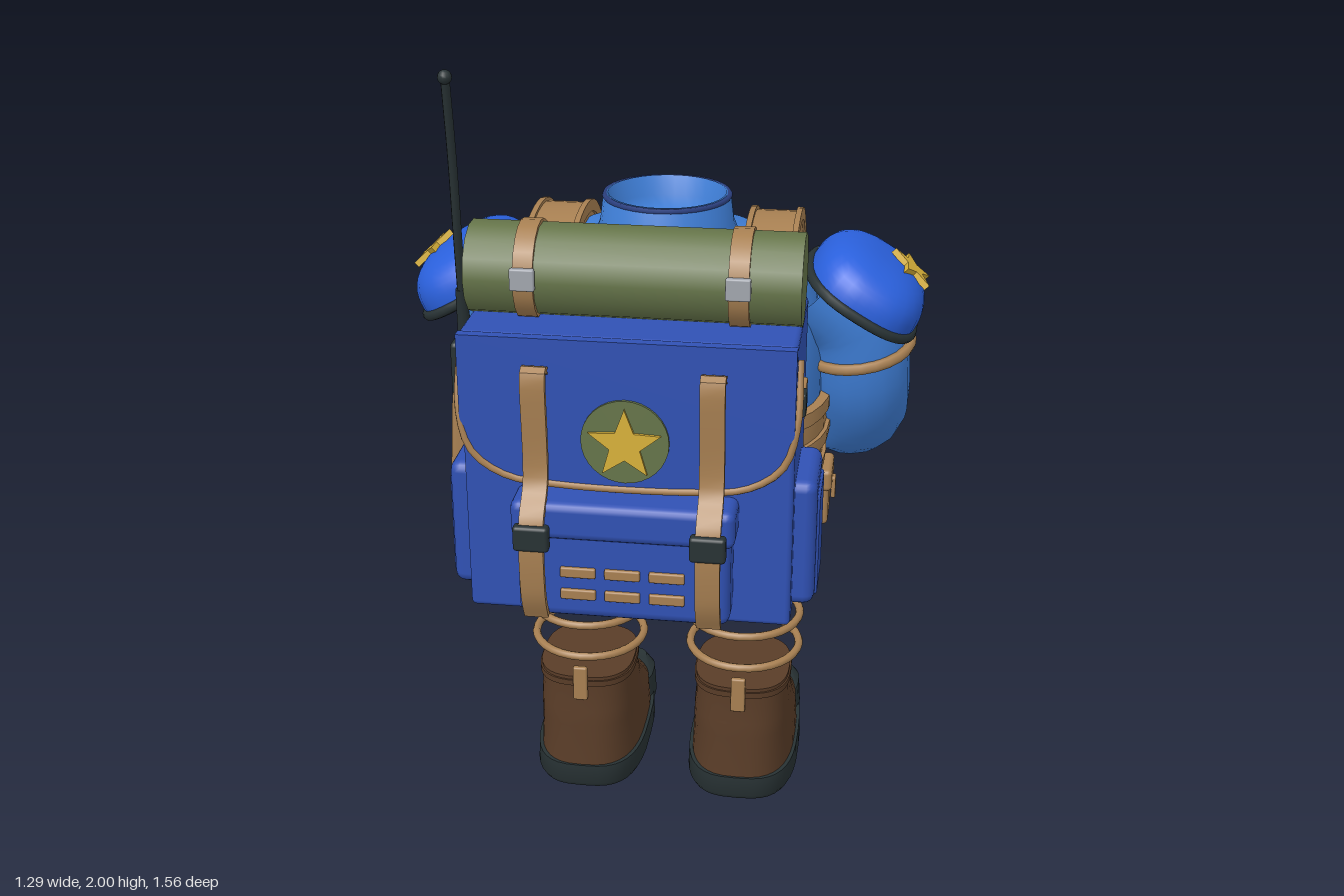
import * as THREE from 'three';
import { toCreasedNormals } from 'three/addons/utils/BufferGeometryUtils.js';
import { RoundedBoxGeometry } from 'three/addons/geometries/RoundedBoxGeometry.js';

const paint = (name, color) => Object.assign(new THREE.MeshStandardMaterial({ color }), { name });
const V = (x, y, z) => new THREE.Vector3(x, y, z);

export function createModel() {
  const shirt = paint('shirt blue', 0x3f7fd8), packBlue = paint('pack blue', 0x3051b4), armor = paint('armor blue', 0x2a60dc);
  const tan = paint('tan webbing', 0xa88052), olive = paint('olive canvas', 0x66754a), leather = paint('boot brown', 0x5a3d28);
  const black = paint('rubber black', 0x283234), gold = paint('star gold', 0xd9b13a), steel = paint('buckle grey', 0xa2a6ae), navy = paint('holster navy', 0x2b3f7e);
  shirt.side = THREE.DoubleSide;
  armor.side = THREE.DoubleSide;
  const model = new THREE.Group();
  model.name = 'paddedSoldierOutfit';
  model.position.x = -0.008;

  const add = (name, geo, mat, x = 0, y = 0, z = 0, parent = model) => {
    const m = new THREE.Mesh(geo, mat);
    m.name = name;
    m.position.set(x, y, z);
    parent.add(m);
    return m;
  };
  const box = (name, mat, w, h, d, x, y, z, r = 0.008, parent = model) =>
    add(name, new RoundedBoxGeometry(w, h, d, 2, Math.min(r, w / 2.1, h / 2.1, d / 2.1)), mat, x, y, z, parent);
  const tube = (name, pts, r, mat, closed = false, parent = model) =>
    add(name, new THREE.TubeGeometry(new THREE.CatmullRomCurve3(pts, closed), 40, r, 8, closed), mat, 0, 0, 0, parent);
  const rounded = (t, p) => [Math.cos(t), Math.sin(t)].map(v => Math.sign(v) * Math.abs(v) ** (2 / p));

  // Stacked rounded cross-sections [y, half width, half depth, centre z]; an arc makes a wedge
  function loft(rings, p = 2.4, t0 = 0, t1 = Math.PI * 2, n = 40) {
    const full = t1 - t0 > 6.2, pos = [], idx = [];
    const N = full ? n : n + 2;
    for (const [y, a, b, c] of rings) {
      for (let j = 0; j < (full ? n : n + 1); j++) {
        const [u, v] = rounded(t0 + (t1 - t0) * j / n, p);
        pos.push(a * u, y, c + b * v);
      }
      if (!full) pos.push(0, y, c);
    }
    for (let i = 0; i < rings.length - 1; i++) for (let j = 0; j < N; j++) {
      const A = i * N + j, B = i * N + (j + 1) % N;
      idx.push(A, A + N, B, B, A + N, B + N);
    }
    const top = rings.length - 1, lo = pos.length / 3;
    pos.push(0, rings[0][0], rings[0][3], 0, rings[top][0], rings[top][3]);
    for (let j = 0; j < N; j++) {
      const k = (j + 1) % N;
      idx.push(lo, j, k, lo + 1, top * N + k, top * N + j);
    }
    const g = new THREE.BufferGeometry();
    g.setAttribute('position', new THREE.Float32BufferAttribute(pos, 3));
    g.setIndex(idx);
    return toCreasedNormals(g, 0.7);
  }

  // Torso and wraps that follow its surface
  const body = [[0.755, 0.35, 0.27, 0.01], [0.87, 0.375, 0.285, 0], [1.05, 0.395, 0.32, -0.03], [1.25, 0.395, 0.325, -0.05],
    [1.4, 0.37, 0.28, -0.04], [1.5, 0.31, 0.225, -0.02], [1.555, 0.22, 0.18, -0.01], [1.575, 0.14, 0.14, -0.01]];
  const at = y => {
    const i = Math.max(0, Math.min(body.length - 2, body.findIndex(r => r[0] > y) - 1));
    const k = (y - body[i][0]) / (body[i + 1][0] - body[i][0]);
    return body[i].map((v, q) => v + (body[i + 1][q] - v) * k);
  };
  const wrap = (name, y0, y1, off, mat, half) => {
    const rings = [0, 0.25, 0.5, 0.75, 1].map(k => { const [y, a, b, c] = at(y0 + (y1 - y0) * k); return [y, a + off, b + off, c]; });
    const f = -Math.PI / 2;
    return add(name, half ? loft(rings, 2.4, f - half, f + half) : loft(rings), mat);
  };
  add('torso', loft(body.slice(0, 7)), shirt);
  add('collar', new THREE.LatheGeometry([[0.185, 1.53], [0.165, 1.58], [0.157, 1.645], [0.145, 1.65], [0.14, 1.6], [0.12, 1.565], [0, 1.56]]
    .map(q => new THREE.Vector2(...q)), 32), shirt, 0, 0, -0.015);
  add('collarSeam', new THREE.TorusGeometry(0.153, 0.007, 6, 32).rotateX(Math.PI / 2), navy, 0, 1.643, -0.015);
  box('placket', shirt, 0.04, 0.14, 0.02, 0, 1.49, -0.235, 0.006).rotation.x = 0.75;
  wrap('waistWrap', 0.94, 1.15, 0.014, tan);
  for (const y of [0.945, 1.03, 1.115]) wrap('waistBand', y, y + 0.035, 0.024, tan);
  wrap('belt', 0.78, 0.865, 0.03, tan);
  wrap('chestPanel', 0.93, 1.34, 0.035, tan, 0.48);
  wrap('chestPanelTop', 1.3, 1.345, 0.05, tan, 0.48);

  // Ribbon following a [z, y] path, extruded across x
  function ribbon(name, path, thick, width, x, mat) {
    const curve = new THREE.SplineCurve(path.map(([z, y]) => new THREE.Vector2(-z, y)));
    const outer = [], inner = [];
    for (let i = 0; i <= 32; i++) {
      const q = curve.getPoint(i / 32), t = curve.getTangent(i / 32);
      outer.push(q);
      inner.unshift(new THREE.Vector2(q.x + t.y * thick, q.y - t.x * thick));
    }
    const g = new THREE.ExtrudeGeometry(new THREE.Shape([...outer, ...inner]), { depth: width, bevelEnabled: false });
    return add(name, toCreasedNormals(g.translate(0, 0, -width / 2).rotateY(Math.PI / 2), 0.6), mat, x);
  }
  const yoke = [[0.28, 0.88], [0.29, 1.2], [0.25, 1.42], [0.14, 1.555], [0, 1.597], [-0.15, 1.57], [-0.28, 1.45], [-0.365, 1.3], [-0.375, 1.12], [-0.3, 0.9]];
  for (const s of [-1, 1]) {
    ribbon('shoulderStrap', yoke, 0.075, 0.115, s * 0.265, tan);
    for (const e of [-0.057, 0.057]) ribbon('strapPiping', yoke.map(([z, y]) => [z * 1.025, y + 0.008]), 0.03, 0.014, s * 0.265 + e, tan);
  }

  // Chest pouches and clips
  for (const x of [-0.14, 0, 0.14]) {
    box('chestPouch', tan, 0.115, 0.14, 0.06, x, 1.07, -0.385);
    box('chestPouchFlap', tan, 0.12, 0.05, 0.07, x, 1.13, -0.388);
    box('chestPouchTab', tan, 0.025, 0.05, 0.01, x, 1.09, -0.426);
  }
  box('chestPocket', tan, 0.16, 0.1, 0.03, 0.02, 1.225, -0.405);
  box('chestClip', black, 0.11, 0.04, 0.025, 0, 1.3, -0.42);
  box('chestStud', gold, 0.02, 0.02, 0.01, -0.05, 1.24, -0.424);
  box('strapClip', black, 0.06, 0.045, 0.04, -0.25, 1.31, -0.385);
  box('strapClip', black, 0.04, 0.035, 0.04, 0.22, 1.31, -0.4);
  box('beltBuckle', steel, 0.11, 0.075, 0.015, 0, 0.822, -0.318);

  // Arms with capped cuffs and bands
  function arm(side, pts, r) {
    const curve = new THREE.CatmullRomCurve3(pts);
    add(side + 'Sleeve', new THREE.TubeGeometry(curve, 28, r, 16), shirt);
    const end = curve.getPoint(1);
    const cap = add(side + 'Cuff', new THREE.CircleGeometry(r, 16), shirt, end.x, end.y, end.z);
    cap.lookAt(end.clone().add(curve.getTangent(1)));
    const q = curve.getPointAt(0.28);
    const band = add(side + 'SleeveBand', new THREE.TorusGeometry(r + 0.006, 0.014, 6, 24), tan, q.x, q.y, q.z);
    band.lookAt(q.clone().add(curve.getTangentAt(0.28)));
  }
  arm('left', [V(0.36, 1.43, -0.03), V(0.46, 1.33, -0.05), V(0.49, 1.16, -0.08), V(0.475, 1.04, -0.17), V(0.38, 1.02, -0.27), V(0.25, 1.02, -0.395)], 0.125);
  arm('right', [V(-0.34, 1.43, -0.03), V(-0.43, 1.33, -0.07), V(-0.44, 1.17, -0.2), V(-0.41, 1.07, -0.36), V(-0.28, 1.06, -0.495), V(0.04, 1.08, -0.695)], 0.115);

  const starGeo = (r, depth) => {
    const pts = [...Array(10).keys()].map(i => {
      const a = Math.PI / 2 + i * Math.PI / 5, q = i % 2 ? r * 0.42 : r;
      return new THREE.Vector2(q * Math.cos(a), q * Math.sin(a));
    });
    return new THREE.ExtrudeGeometry(new THREE.Shape(pts), { depth, bevelEnabled: false });
  };

  // Shoulder guards: squared domes with a dark rim and a star
  for (const s of [-1, 1]) {
    const g = new THREE.Group();
    g.name = s > 0 ? 'leftShoulderGuard' : 'rightShoulderGuard';
    g.position.set(s * 0.485, 1.4, -0.05);
    g.rotation.z = -s * 0.54;
    model.add(g);
    const dome = new THREE.SphereGeometry(1, 32, 14, 0, Math.PI * 2, 0, Math.PI / 2), P = dome.attributes.position;
    for (let i = 0; i < P.count; i++) {
      const v = V().fromBufferAttribute(P, i);
      const k = (Math.abs(v.x) ** 2.7 + Math.abs(v.y) ** 2.7 + Math.abs(v.z) ** 2.7) ** (-1 / 2.7);
      P.setXYZ(i, v.x * k * 0.15, v.y * k * 0.12, v.z * k * 0.19);
    }
    dome.computeVertexNormals();
    add('guardDome', dome, armor, 0, 0, 0, g);
    const rim = [...Array(24).keys()].map(i => { const [u, v] = rounded(i / 24 * Math.PI * 2, 2.7); return V(u * 0.15, -0.004, v * 0.19); });
    tube('guardRim', rim, 0.013, black, true, g);
    add('guardStar', starGeo(0.065, 0.016).rotateZ(s * Math.PI / 2).rotateX(-Math.PI / 2).rotateZ(-s * 0.22), gold, s * 0.065, 0.111, 0, g);
  }

  // Backpack body, flap and piping
  box('packBody', packBlue, 0.74, 0.68, 0.34, 0, 1.17, 0.465, 0.012);
  const flap = new THREE.Shape();
  flap.moveTo(-0.37, 1.51);
  flap.lineTo(-0.37, 1.32);
  flap.bezierCurveTo(-0.36, 1.2, -0.28, 1.17, -0.15, 1.165);
  flap.lineTo(0.15, 1.165);
  flap.bezierCurveTo(0.28, 1.17, 0.36, 1.2, 0.37, 1.32);
  flap.lineTo(0.37, 1.51);
  add('packFlap', new THREE.ExtrudeGeometry(flap, { depth: 0.025, bevelEnabled: false }), packBlue, 0, 0, 0.632);
  const edge = [[0.373, 1.47, 0.6], [0.373, 1.33, 0.645], [0.345, 1.235, 0.655], [0.27, 1.182, 0.655], [0.15, 1.166, 0.655]];
  tube('flapPiping', [...edge.map(q => V(...q)), ...edge.reverse().map(([x, y, z]) => V(-x, y, z))], 0.009, tan);
  add('emblemDisc', new THREE.CylinderGeometry(0.098, 0.098, 0.008, 32).rotateX(Math.PI / 2), olive, 0, 1.28, 0.66);
  add('emblemStar', starGeo(0.085, 0.008), gold, 0, 1.275, 0.663);

  // Rear pocket, webbing loops and closing straps
  box('rearPocket', packBlue, 0.48, 0.27, 0.1, 0, 0.995, 0.665, 0.025);
  box('rearPocketLid', packBlue, 0.5, 0.09, 0.11, 0, 1.105, 0.672, 0.02);
  for (const y of [0.925, 0.98]) for (const x of [-0.13, -0.03, 0.07])
    box('webbingLoop', tan, 0.08, 0.025, 0.012, x + 0.03, y, 0.717, 0.004);
  for (const x of [-0.195, 0.195]) {
    ribbon('closingStrap', [[0.66, 1.43], [0.685, 1.42], [0.68, 1.2], [0.745, 1.1], [0.745, 0.95], [0.715, 0.87]], 0.014, 0.055, x, tan);
    box('closingBuckle', black, 0.08, 0.06, 0.03, x, 1.08, 0.755);
  }
  for (const s of [-1, 1]) {
    box('sidePocket', packBlue, 0.07, 0.31, 0.22, s * 0.385, 1.015, 0.48, 0.025);
    box('sidePocketPanel', packBlue, 0.02, 0.25, 0.16, s * 0.416, 1.0, 0.48, 0.008);
    box('sideTab', tan, 0.016, 0.035, 0.13, s * 0.372, 1.33, 0.46, 0.004);
    box('sideTabBuckle', black, 0.022, 0.055, 0.045, s * 0.374, 1.33, 0.505, 0.005);
  }
  add('carryHandle', new THREE.TorusGeometry(0.07, 0.018, 8, 20, Math.PI), tan, 0, 1.5, 0.325);

  // Bedroll with straps
  add('bedroll', new THREE.CylinderGeometry(0.104, 0.104, 0.74, 14).rotateZ(Math.PI / 2), olive, 0, 1.605, 0.47);
  for (const x of [-0.235, 0.235]) {
    add('bedrollStrap', new THREE.CylinderGeometry(0.111, 0.111, 0.045, 20).rotateZ(Math.PI / 2), tan, x, 1.605, 0.47);
    box('bedrollBuckle', steel, 0.055, 0.05, 0.016, x, 1.615, 0.582, 0.004);
  }

  // Radio with whip antenna
  box('radioPouch', tan, 0.085, 0.23, 0.11, -0.465, 1.08, 0.19, 0.02).rotation.z = -0.06;
  box('radio', black, 0.06, 0.15, 0.08, -0.475, 1.24, 0.18, 0.012);
  tube('antenna', [V(-0.475, 1.28, 0.17), V(-0.47, 1.55, 0.215), V(-0.465, 1.78, 0.25), V(-0.462, 1.98, 0.288)], 0.011, black);
  add('antennaBase', new THREE.CylinderGeometry(0.013, 0.019, 0.16, 10), black, -0.474, 1.37, 0.185).rotation.x = 0.16;
  add('antennaTip', new THREE.SphereGeometry(0.017, 12, 8), black, -0.462, 1.983, 0.29);

  // Belt gear
  box('leftPouch', tan, 0.07, 0.15, 0.12, 0.385, 0.805, -0.14, 0.012);
  box('leftPouchFlap', tan, 0.085, 0.06, 0.13, 0.385, 0.86, -0.14, 0.012);
  box('leftPouchTab', tan, 0.012, 0.06, 0.03, 0.43, 0.82, -0.14, 0.004);
  box('rightPouch', tan, 0.1, 0.13, 0.16, -0.385, 0.765, -0.14, 0.012);
  box('rightPouchFlap', olive, 0.115, 0.06, 0.17, -0.385, 0.825, -0.14, 0.012);
  box('holsterHanger', tan, 0.055, 0.17, 0.1, -0.415, 0.785, 0.01, 0.01);
  box('holster', navy, 0.05, 0.17, 0.17, -0.4, 0.605, 0, 0.012);
  box('holsterLip', navy, 0.06, 0.045, 0.21, -0.405, 0.685, 0, 0.012);
  add('rearBeltRoll', new THREE.CylinderGeometry(0.03, 0.03, 0.16, 12).rotateZ(Math.PI / 2), tan, -0.26, 0.795, 0.29);
  add('canteen', new THREE.LatheGeometry([[0, 0.66], [0.055, 0.66], [0.068, 0.675], [0.068, 0.81], [0.05, 0.835], [0, 0.835]]
    .map(q => new THREE.Vector2(...q)), 20).scale(1.08, 1, 0.82), olive, 0.28, 0, 0.285);

  // Trouser hoops and boots
  for (const s of [-1, 1]) {
    const g = new THREE.Group();
    g.name = s > 0 ? 'leftBoot' : 'rightBoot';
    g.position.x = s * 0.212;
    model.add(g);
    for (const y of [0.403, 0.498]) add('legHoop', new THREE.TorusGeometry(0.147, 0.011, 8, 32).rotateX(Math.PI / 2), tan, 0, y, -0.01, g);
    add('sole', loft([[0, 0.145, 0.252, -0.1], [0.015, 0.152, 0.262, -0.1], [0.07, 0.15, 0.26, -0.1]], 3), black, 0, 0, 0, g);
    add('upper', loft([[0.06, 0.142, 0.25, -0.095], [0.14, 0.138, 0.24, -0.09], [0.19, 0.134, 0.2, -0.05], [0.235, 0.13, 0.165, -0.017],
      [0.28, 0.126, 0.15, -0.006], [0.345, 0.126, 0.143, 0.004]], 2.8), leather, 0, 0, 0, g);
    add('toeCap', loft([[0.05, 0.143, 0.1, -0.262], [0.13, 0.138, 0.095, -0.262], [0.155, 0.11, 0.05, -0.295]], 3), black, 0, 0, 0, g);
    add('cuffPiping', loft([[0.318, 0.13, 0.148, 0.002], [0.335, 0.13, 0.148, 0.003]], 2.8), leather, 0, 0, 0, g);
    box('pullLoop', tan, 0.038, 0.1, 0.016, 0, 0.33, 0.152, 0.005, g);
    for (const [y, z] of [[0.2, -0.237], [0.235, -0.184], [0.27, -0.162], [0.305, -0.15]]) for (const d of [-1, 1])
      box('lace', tan, 0.085, 0.011, 0.012, 0, y, z, 0.004, g).rotation.z = d * 0.3;
  }
  return model;
}
